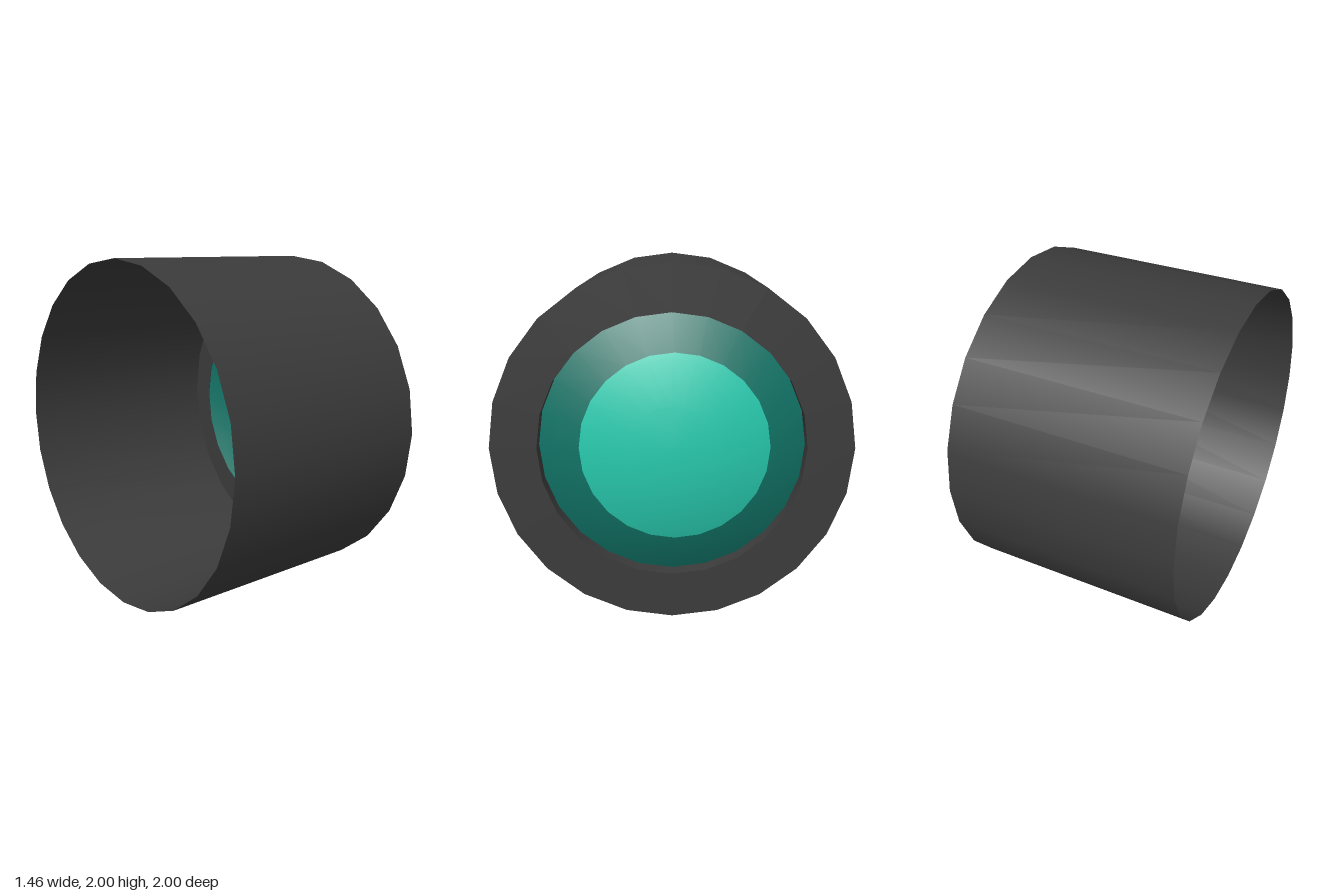
import * as THREE from 'three';

const SIDES = 24;
const BACK = -0.73, FRONT = 0.63, SEAT = 0.535;
const OUTER = 1, HOLE = 0.74, IRIS = 0.523;
const DOME_R = 1.56, APEX = 0.725;

// Solid of revolution about the x axis; points are [x, radius], going back to front
function revolve(points) {
  const profile = points.map(([x, r]) => new THREE.Vector2(r, x));
  return new THREE.LatheGeometry(profile, SIDES).rotateZ(-Math.PI / 2);
}

// Height of the spherical lens at a given radius
const domeX = (r) => APEX - DOME_R + Math.sqrt(DOME_R * DOME_R - r * r);

// A zone of the lens; the colour border sits slightly off centre
function domeZone(radii) {
  const geo = revolve(radii.map((r) => [domeX(r), r]));
  const p = geo.attributes.position, n = geo.attributes.normal;
  const v = new THREE.Vector3();
  for (let i = 0; i < p.count; i++) {
    v.fromBufferAttribute(p, i);
    if (Math.abs(Math.hypot(v.y, v.z) - IRIS) < 1e-4) {
      v.z -= 0.015;
      v.y += 0.005;
      v.x = domeX(Math.hypot(v.y, v.z));
      p.setXYZ(i, v.x, v.y, v.z);
    }
    v.x -= APEX - DOME_R;
    v.normalize();
    n.setXYZ(i, v.x, v.y, v.z);
  }
  return geo;
}

export function createModel() {
  const group = new THREE.Group();
  const material = (name, color) => {
    const m = new THREE.MeshStandardMaterial({ color, side: THREE.DoubleSide });
    m.name = name;
    return m;
  };
  const black = material('charcoal', 0x3b3b3b);
  const darkTeal = material('darkTeal', 0x117467);
  const teal = material('brightTeal', 0x28ccb0);

  const add = (name, geo, mat) => {
    const mesh = new THREE.Mesh(geo, mat);
    mesh.name = name;
    group.add(mesh);
  };

  // Open-backed barrel, its flat front ring and the wall of the recess
  add('barrel', revolve([[BACK, OUTER], [FRONT, OUTER]]), black);
  add('frontRing', revolve([[FRONT, OUTER], [FRONT, HOLE]]), black);
  add('recessWall', revolve([[FRONT, HOLE], [SEAT, HOLE]]), black);

  // Domed lens in two colours
  add('lensRim', domeZone([HOLE, IRIS]), darkTeal);
  add('lensCentre', domeZone([IRIS, 0.5, 0.25, 0]), teal);

  group.position.y = 1;
  const model = new THREE.Group();
  model.name = 'lensBarrel';
  model.add(group);
  return model;
}
